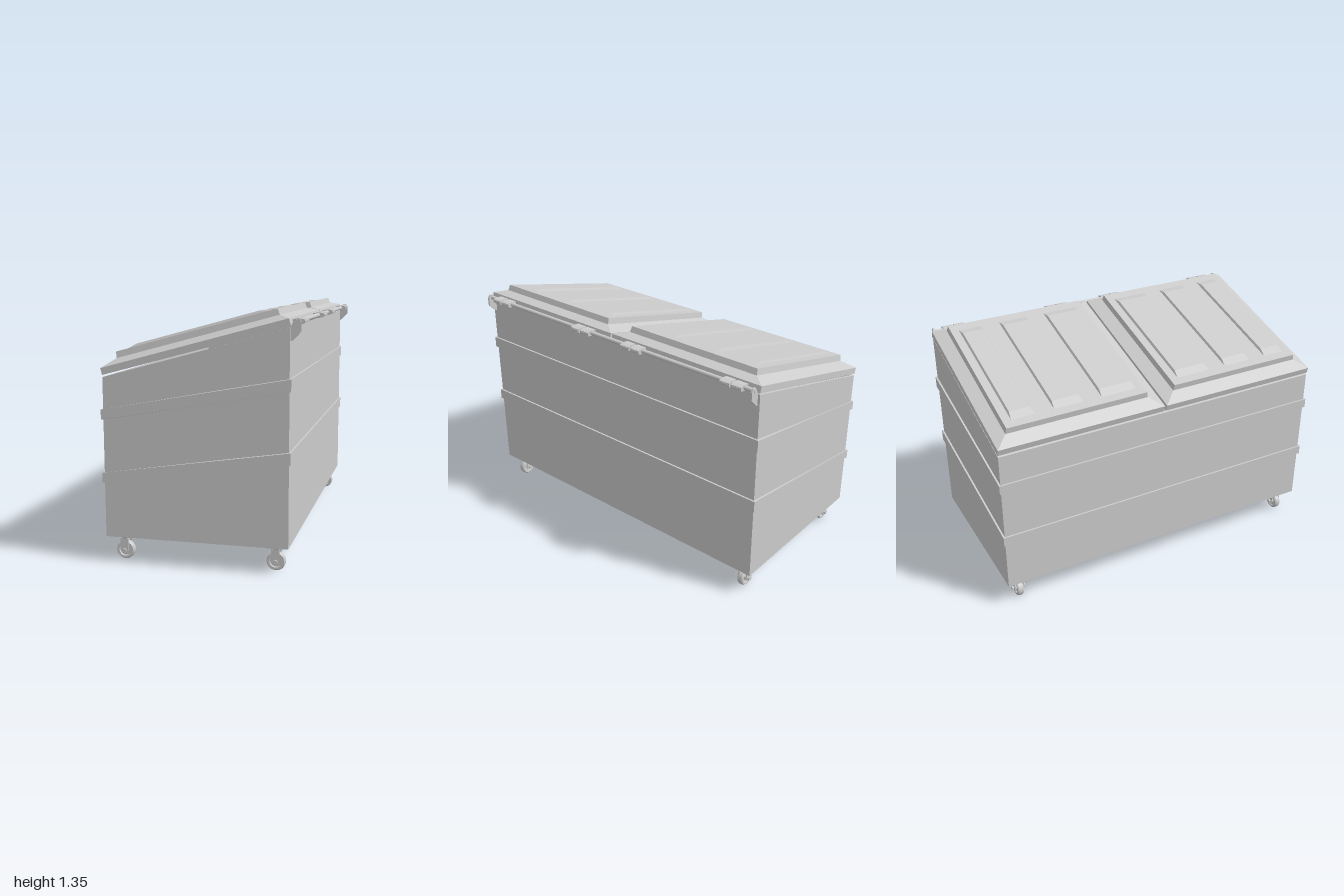
import * as THREE from 'three';

const grey = new THREE.MeshStandardMaterial({ color: 0xcccccc });
const greyFlat = new THREE.MeshStandardMaterial({ color: 0xcccccc, flatShading: true });

function add(parent, name, geometry, x = 0, y = 0, z = 0, material = greyFlat) {
  const mesh = new THREE.Mesh(geometry, material);
  mesh.name = name;
  mesh.position.set(x, y, z);
  parent.add(mesh);
  return mesh;
}

// Four corners of a rectangle whose height runs from y0 (at x0) to y1 (at x1)
const rect = (x0, x1, z0, z1, y0, y1 = y0) =>
  [[x0, y0, z0], [x0, y0, z1], [x1, y1, z1], [x1, y1, z0]];

// Skin over a stack of four-cornered rings
function loft(rings, capped = true) {
  const pos = [];
  const quad = (a, b, c, d) => pos.push(...a, ...b, ...c, ...a, ...c, ...d);
  for (let r = 0; r + 1 < rings.length; r++) {
    for (let i = 0; i < 4; i++) {
      const j = (i + 1) % 4;
      quad(rings[r][i], rings[r][j], rings[r + 1][j], rings[r + 1][i]);
    }
  }
  if (capped) {
    const [a, b, c, d] = rings[0];
    quad(d, c, b, a);
    quad(...rings[rings.length - 1]);
  }
  const g = new THREE.BufferGeometry();
  g.setAttribute('position', new THREE.Float32BufferAttribute(pos, 3));
  g.computeVertexNormals();
  return g;
}

// Flat outline in x/y, extruded along z and centred on z = 0
function plate(points, depth) {
  const shape = new THREE.Shape(points.map(([x, y]) => new THREE.Vector2(x, y)));
  return new THREE.ExtrudeGeometry(shape, { depth, bevelEnabled: false }).translate(0, 0, -depth / 2);
}

const rod = (radius, length, sides = 20) =>
  new THREE.CylinderGeometry(radius, radius, length, sides).rotateX(Math.PI / 2);

// One lid, lying flat along its own x axis before it is tilted
function makeLid(side) {
  const lid = new THREE.Group();
  lid.name = side > 0 ? 'frontLid' : 'rearLid';
  const ring = (x0, x1, a, b, y) =>
    rect(x0, x1, Math.min(a * side, b * side), Math.max(a * side, b * side), y);
  add(lid, 'lidPanel', loft([
    ring(0, 1.025, 0.006, 0.992, 0),
    ring(0, 1.025, 0.006, 0.992, 0.037),
    ring(0.074, 0.971, 0.082, 0.922, 0.065),
    ring(0.078, 0.968, 0.088, 0.916, 0.099),
  ]));
  // Raised ribs with long sloping ends
  for (const [a, b] of [[0.135, 0.345], [0.455, 0.627], [0.735, 0.87]]) {
    add(lid, 'lidRib', loft([
      ring(0.125, 0.917, a, b, 0.098),
      ring(0.18, 0.868, a + 0.008, b - 0.008, 0.112),
    ]));
  }
  lid.position.set(-0.52, 1.005, 0);
  lid.rotation.z = 0.265;
  return lid;
}

function makeCaster(x, z) {
  const caster = new THREE.Group();
  caster.name = 'caster';
  add(caster, 'mountingPlate', new THREE.BoxGeometry(0.1, 0.012, 0.1), 0, 0.134, 0);
  add(caster, 'swivel', new THREE.CylinderGeometry(0.035, 0.03, 0.012, 24), 0, 0.123, 0, grey);
  add(caster, 'forkTop', new THREE.BoxGeometry(0.044, 0.008, 0.058), 0, 0.114, 0);
  for (const s of [-1, 1]) {
    add(caster, 'forkArm', plate([
      [-0.022, 0.118], [-0.022, 0.05], [-0.014, 0.034], [0.014, 0.034], [0.022, 0.05], [0.022, 0.118],
    ], 0.006), 0, 0, s * 0.026);
    add(caster, 'axleNut', rod(0.013, 0.01, 6), 0, 0.05, s * 0.034);
  }
  add(caster, 'axle', rod(0.008, 0.07), 0, 0.05, 0, grey);
  // Wheel profile: hub, dished web, rounded tyre
  const profile = [
    [0.008, -0.02], [0.016, -0.02], [0.018, -0.01], [0.031, -0.01], [0.034, -0.018], [0.045, -0.018],
    [0.05, -0.011], [0.05, 0.011], [0.045, 0.018], [0.034, 0.018], [0.031, 0.01], [0.018, 0.01],
    [0.016, 0.02], [0.008, 0.02],
  ].map(([r, y]) => new THREE.Vector2(r, y));
  add(caster, 'wheel', new THREE.LatheGeometry(profile, 32).rotateX(Math.PI / 2), 0, 0.05, 0);
  caster.position.set(x, 0, z);
  return caster;
}

// A pair of hinge knuckles with straps reaching under the lid edge
function makeHinge(z) {
  const hinge = new THREE.Group();
  hinge.name = 'hinge';
  for (const s of [-1, 1]) {
    add(hinge, 'hingeStrap', plate([
      [0.45, 1.275], [0.5, 1.274], [0.525, 1.28], [0.525, 1.3], [0.5, 1.306], [0.45, 1.298],
    ], 0.062), 0, 0, s * 0.036);
    add(hinge, 'hingePin', rod(0.013, 0.05), 0.514, 1.29, s * 0.036, grey);
  }
  hinge.position.z = z;
  return hinge;
}

export function createModel() {
  const model = new THREE.Group();
  model.name = 'wasteContainer';

  // Hollow body with sloping rim
  add(model, 'body', loft([
    rect(-0.52, 0.465, -0.99, 0.99, 0.14),
    rect(-0.52, 0.465, -0.99, 0.99, 0.994, 1.264),
    rect(-0.505, 0.45, -0.975, 0.975, 0.998, 1.26),
    rect(-0.505, 0.45, -0.975, 0.975, 0.155),
  ]));

  // Sloping bands around the body
  for (const [low, high] of [[0.435, 0.577], [0.772, 0.947]]) {
    add(model, 'band', loft([
      rect(-0.515, 0.46, -0.985, 0.985, low, high),
      rect(-0.53, 0.475, -1, 1, low, high),
      rect(-0.53, 0.475, -1, 1, low + 0.053, high + 0.064),
      rect(-0.515, 0.46, -0.985, 0.985, low + 0.053, high + 0.064),
    ], false));
  }

  for (const s of [-1, 1]) {
    model.add(makeLid(s));
    for (const x of [-0.44, 0.388]) model.add(makeCaster(x, s * 0.908));
    for (const z of [0.187, 0.85]) model.add(makeHinge(s * z));
    // Ears that hold the hinge rod
    add(model, 'rodBracket', plate([
      [0.462, 1.197], [0.474, 1.2], [0.518, 1.245], [0.518, 1.29], [0.508, 1.308], [0.488, 1.308], [0.462, 1.265],
    ], 0.01), 0, 0, s * 0.972);
  }
  add(model, 'hingeRod', rod(0.012, 1.96), 0.492, 1.29, 0, grey);

  return model;
}
